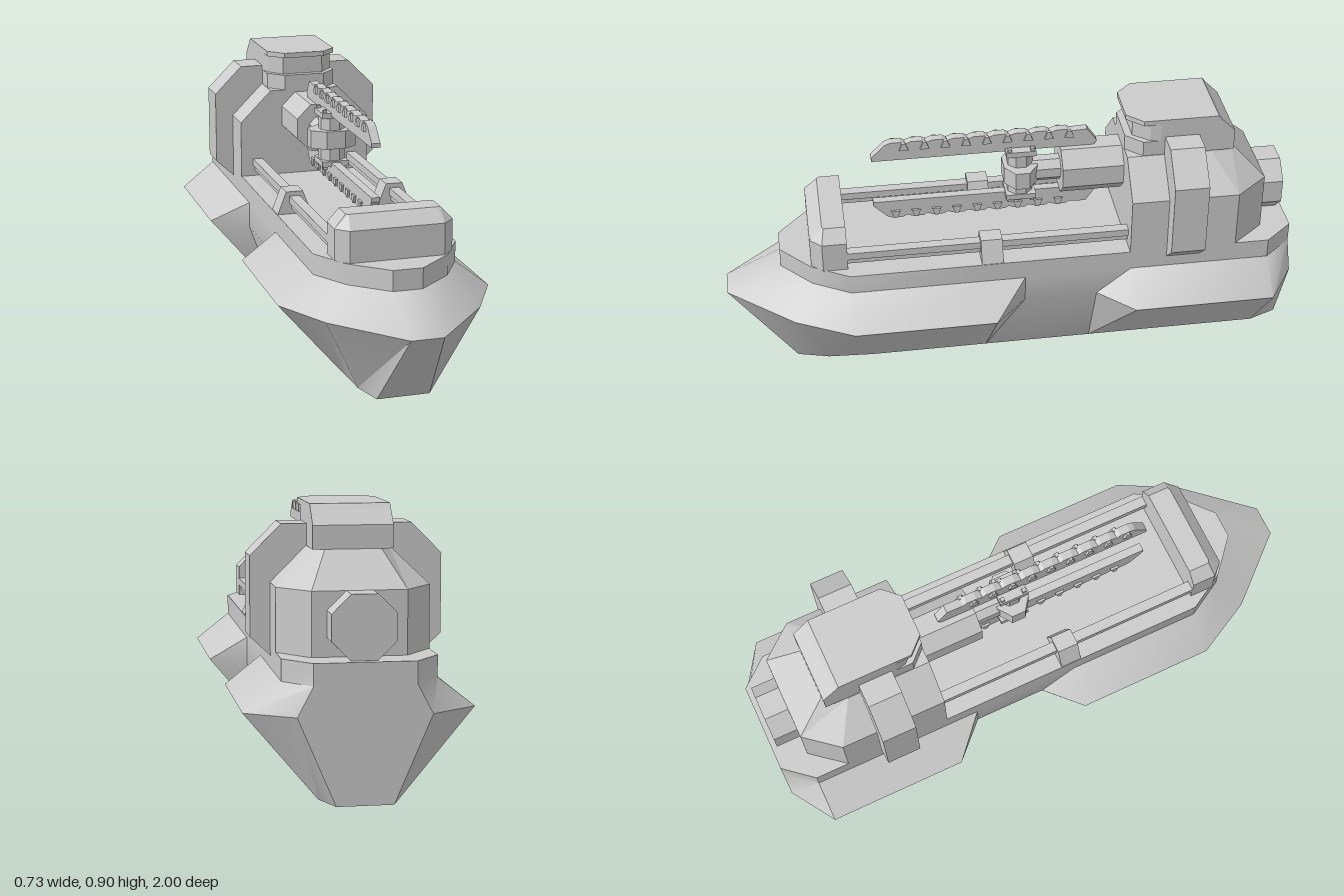
import * as THREE from 'three';
import { toCreasedNormals } from 'three/addons/utils/BufferGeometryUtils.js';

const flat = new THREE.MeshStandardMaterial({ color: 0xcccccc, flatShading: true });
const smooth = new THREE.MeshStandardMaterial({ color: 0xcccccc });

// Skin horizontal rings; each is [y, half outline of [x, z] from front to back], mirrored in x.
function loft(rings) {
  const loops = rings.map(([y, half]) => [
    ...half.map(([x, z]) => [x, y, z]),
    ...half.slice().reverse().map(([x, z]) => [-x, y, z]),
  ]);
  const n = loops[0].length, pos = [];
  const tri = (a, b, c) => pos.push(...a, ...b, ...c);
  for (let r = 0; r < loops.length - 1; r++) {
    for (let i = 0; i < n; i++) {
      const j = (i + 1) % n, lo = loops[r], hi = loops[r + 1];
      tri(lo[i], lo[j], hi[j]);
      tri(lo[i], hi[j], hi[i]);
    }
  }
  const bottom = loops[0], top = loops[loops.length - 1];
  for (let i = 1; i < n - 1; i++) {
    tri(bottom[0], bottom[i + 1], bottom[i]);
    tri(top[0], top[i], top[i + 1]);
  }
  const geo = new THREE.BufferGeometry();
  geo.setAttribute('position', new THREE.Float32BufferAttribute(pos, 3));
  geo.computeVertexNormals();
  return geo;
}

// Extrude a polygon, centred on its depth.
function slab(points, depth) {
  const shape = new THREE.Shape(points.map(([x, y]) => new THREE.Vector2(x, y)));
  return new THREE.ExtrudeGeometry(shape, { depth, bevelEnabled: false }).translate(0, 0, -depth / 2);
}

// Eight-sided drum with flats of the given half width, along y or z.
function drum(halfWidth, length, alongZ, endScale = 1) {
  const r = halfWidth / Math.cos(Math.PI / 8);
  const geo = new THREE.CylinderGeometry(r * endScale, r, length, 8).rotateY(Math.PI / 8);
  return alongZ ? geo.rotateX(Math.PI / 2) : geo;
}

export function createModel() {
  const model = new THREE.Group();
  const add = (name, geo, x = 0, y = 0, z = 0, parent = model, mat = flat) => {
    const mesh = new THREE.Mesh(geo, mat);
    mesh.name = name;
    mesh.position.set(x, y, z);
    parent.add(mesh);
    return mesh;
  };
  const box = (name, w, h, d, x, y, z, parent) => add(name, new THREE.BoxGeometry(w, h, d), x, y, z, parent);

  // Hull: narrow keel, wide chine with a pinched waist, straight deck band
  const keel = [[0.09, 0.77], [0.12, 0.66], [0.13, 0.5], [0.13, 0.09], [0.13, -0.03], [0.13, -0.29], [0.13, -0.41], [0.13, -0.9], [0.09, -1]];
  const chine = [[0.055, 1], [0.26, 0.77], [0.365, 0.57], [0.365, 0.08], [0.245, -0.035], [0.245, -0.29], [0.365, -0.41], [0.365, -0.9], [0.21, -1]];
  const deck = [[0.05, 0.805], [0.17, 0.7], [0.245, 0.57], [0.245, 0.09], [0.245, -0.035], [0.245, -0.29], [0.245, -0.41], [0.245, -0.9], [0.16, -1]];
  add('hull', toCreasedNormals(loft([[0, keel], [0.28, chine], [0.375, deck], [0.445, deck]]), 0.6), 0, 0, 0, model, smooth);

  // Tower with sloped shoulders
  const wall = [[0.245, -0.405], [0.245, -0.78], [0.15, -0.895]];
  add('tower', loft([[0.445, wall], [0.65, wall], [0.765, [[0.13, -0.405], [0.13, -0.7], [0.09, -0.78]]]]));

  // Cupola: base, recessed slit, sloping-backed roof
  const plan = (back, inset = 0) => [[0.075, -0.405 - inset], [0.128 - inset * 0.3, -0.46 - inset], [0.128, -0.52], [0.128, back]];
  add('cupolaBase', loft([[0.765, plan(-0.78)], [0.82, plan(-0.78)]]));
  add('cupolaSlit', loft([[0.82, plan(-0.78, 0.025)], [0.84, plan(-0.78, 0.025)], [0.885, plan(-0.735, 0.025)]]));
  add('cupolaRoof', loft([[0.885, plan(-0.735)], [0.903, plan(-0.72)]]));

  // Side shields on the tower
  for (const s of [1, -1]) {
    const pts = [[0.1, 0.41], [0.24, 0.41], [0.31, 0.475], [0.31, 0.735], [0.21, 0.835], [0.1, 0.835]];
    add(s > 0 ? 'leftShield' : 'rightShield', slab(pts.map(([x, y]) => [x * s, y]), 0.12), 0, 0, -0.595);
  }

  // Rear drum
  add('rearDrum', drum(0.102, 0.11, true), 0, 0.548, -0.925);

  // Bow box with chamfered front
  const bow = [[0.16, 0.7], [0.2, 0.66], [0.2, 0.575]];
  add('bowBox', loft([[0.445, bow], [0.552, bow], [0.595, [[0.15, 0.655], [0.16, 0.65], [0.16, 0.575]]]]));

  // Double deck rails and their brackets
  for (const s of [1, -1]) {
    const rails = new THREE.Group();
    rails.name = s > 0 ? 'leftRails' : 'rightRails';
    model.add(rails);
    box('upperRail', 0.036, 0.026, 0.99, s * 0.182, 0.496, 0.085, rails);
    box('lowerRail', 0.022, 0.014, 0.99, s * 0.182, 0.471, 0.085, rails);
    add('railBracket', slab([[-0.063, 0.44], [0.063, 0.44], [0.03, 0.525], [-0.03, 0.525]], 0.075), s * 0.182, 0, 0.078, rails);
  }

  // Arm reaching forward from the tower
  add('armBarrel', drum(0.087, 0.24, true), 0, 0.668, -0.31);
  add('armNeck', drum(0.042, 0.12, true), 0, 0.666, -0.14);

  // Hub that carries both saw blades
  const hub = new THREE.Group();
  hub.name = 'hub';
  hub.position.set(0, 0.668, -0.05);
  model.add(hub);
  add('hubColumn', drum(0.043, 0.19), 0, 0, 0, hub);
  add('hubCollar', drum(0.082, 0.064).scale(1, 1, 0.72), 0, 0, 0, hub);
  for (const s of [1, -1]) {
    box('hubCap', 0.095, 0.02, 0.105, 0, s * 0.088, 0, hub);
    for (const x of [-0.036, 0.036])
      for (const z of [-0.04, 0.04]) box('hubBolt', 0.014, 0.014, 0.014, x, s * 0.102, z, hub);
  }

  // Saw blades, the lower one mirrored; teeth alternate from side to side
  const teeth = 9, step = 0.072;
  for (const s of [1, -1]) {
    const saw = new THREE.Group();
    saw.name = s > 0 ? 'upperSaw' : 'lowerSaw';
    saw.position.y = 0.67;
    if (s < 0) saw.rotation.z = Math.PI;
    model.add(saw);
    const pts = [[-0.31, 0.085], [0.467, 0.085], [0.467, 0.1], [0.42, 0.147]];
    for (let i = 0; i < teeth; i++) {
      const z = 0.4 - i * step;
      pts.push([z, 0.155], [z - 0.036, 0.155], [z - 0.05, 0.147]);
    }
    pts.push([-0.285, 0.15], [-0.32, 0.1]);
    add('bladeBar', slab(pts, 0.03).rotateY(-Math.PI / 2), 0, 0, 0, saw);
    for (let i = 0; i < teeth * 2; i++) {
      const tooth = [[-0.016, 0.125], [0.016, 0.125], [0.006, 0.152], [-0.006, 0.152]];
      add('tooth', slab(tooth, 0.014).rotateY(-Math.PI / 2), i % 2 ? 0.016 : -0.016, 0, 0.39 - i * step / 2, saw);
    }
  }
  return model;
}
